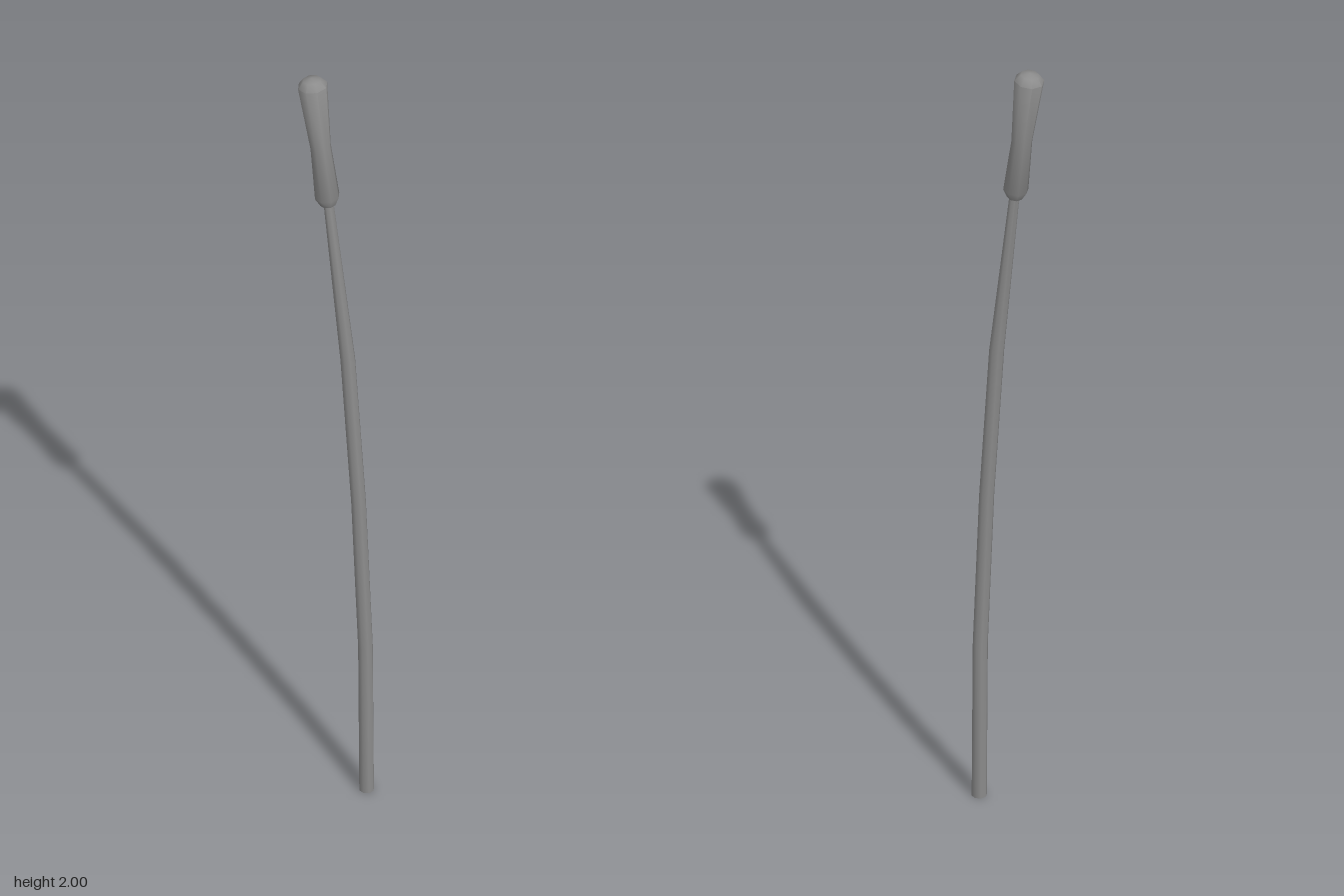
import * as THREE from 'three';
import { toCreasedNormals } from 'three/addons/utils/BufferGeometryUtils.js';

const SIDES = 8;

// Eight-sided turned part from [radius, height] pairs, bottom to top
function turned(profile) {
  return new THREE.LatheGeometry(profile.map(([r, y]) => new THREE.Vector2(r, y)), SIDES);
}

// Dark grey mesh, smooth around its sides and sharp at the flat ends
function part(name, geometry) {
  const mesh = new THREE.Mesh(
    toCreasedNormals(geometry, 0.9),
    new THREE.MeshStandardMaterial({ color: 0x8c8c8c })
  );
  mesh.name = name;
  return mesh;
}

export function createModel() {
  const group = new THREE.Group();
  group.name = 'bentLever';

  // Stem: tapered rod whose rings follow a gentle bend, as [centre x, height, radius]
  const rings = [
    [0.079, 0, 0.018],
    [0.076, 0.41, 0.018],
    [0.058, 0.82, 0.018],
    [0.03, 1.22, 0.018],
    [-0.022, 1.67, 0.012],
  ];
  const stem = turned([[0, 0], ...rings.map(([, y, r]) => [r, y]), [0, 1.67]]);
  const pos = stem.attributes.position;
  for (let i = 0; i < pos.count; i++) {
    const ring = rings.find(([, y]) => Math.abs(y - pos.getY(i)) < 1e-4);
    pos.setX(i, pos.getX(i) + ring[0]);
  }
  group.add(part('stem', stem));

  // Grip: waisted handle with a bevelled foot and domed top, leaning with the stem
  const grip = turned([
    [0, 0], [0.019, 0], [0.03, 0.022], [0.025, 0.16],
    [0.036, 0.33], [0.022, 0.346], [0, 0.351],
  ]);
  grip.rotateZ(0.123);
  grip.translate(-0.021, 1.65, 0);
  group.add(part('grip', grip));

  return group;
}
